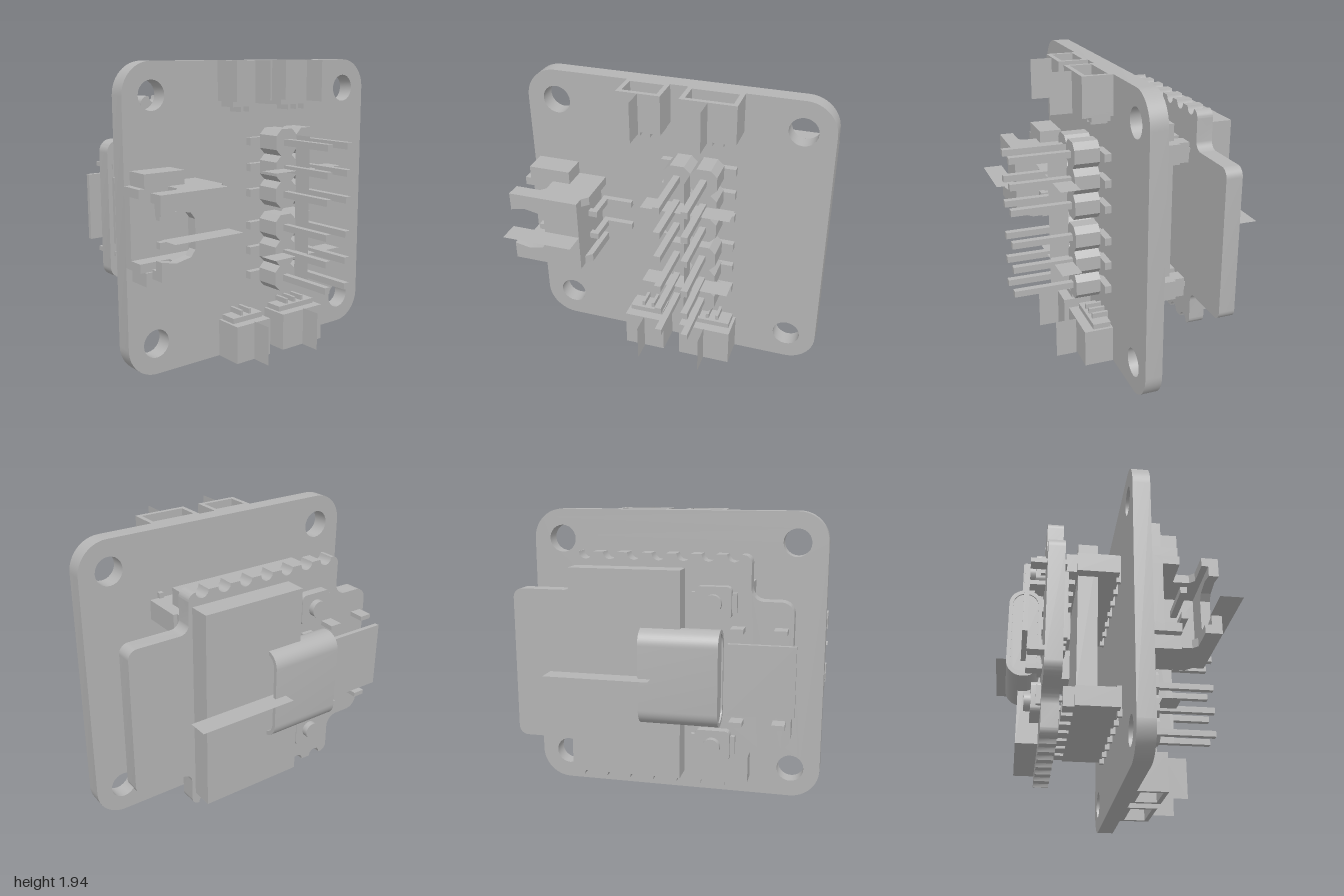
import * as THREE from 'three';
import { toCreasedNormals } from 'three/addons/utils/BufferGeometryUtils.js';

const CY = 0.97; // height of the board's centre
const gray = new THREE.MeshStandardMaterial({ color: 0xb4b4b4, side: THREE.DoubleSide });
gray.name = 'gray';

export function createModel() {
  const model = new THREE.Group();
  model.name = 'stackedCircuitBoards';

  const group = (name, parent = model) => {
    const g = new THREE.Group();
    g.name = name;
    parent.add(g);
    return g;
  };
  const add = (parent, name, geo) => {
    const m = new THREE.Mesh(geo, gray);
    m.name = name;
    parent.add(m);
    return m;
  };
  // Box given by its limits on each axis
  const box = (parent, name, x0, x1, y0, y1, z0, z1) => {
    const m = add(parent, name, new THREE.BoxGeometry(x1 - x0, y1 - y0, z1 - z0));
    m.position.set((x0 + x1) / 2, (y0 + y1) / 2, (z0 + z1) / 2);
    return m;
  };
  // Path through [x, y, cornerRadius] points
  const outline = (pts, Type = THREE.Shape) => {
    const s = new Type(), n = pts.length;
    pts.forEach((p, i) => {
      const c = new THREE.Vector2(p[0], p[1]), r = p[2] || 0;
      const toward = (q) => new THREE.Vector2(q[0], q[1]).sub(c).setLength(r).add(c);
      const a = toward(pts[(i + n - 1) % n]), b = toward(pts[(i + 1) % n]);
      if (i === 0) s.moveTo(a.x, a.y); else s.lineTo(a.x, a.y);
      if (r) {
        const k = 0.5523; // circular arc as a cubic curve
        const h1 = a.clone().lerp(c, k), h2 = b.clone().lerp(c, k);
        s.bezierCurveTo(h1.x, h1.y, h2.x, h2.y, b.x, b.y);
      }
    });
    s.closePath();
    return s;
  };
  const rect = (x0, x1, y0, y1, r, Type) =>
    outline([[x0, y0, r], [x1, y0, r], [x1, y1, r], [x0, y1, r]], Type);
  const extrude = (shape, z0, z1) => {
    const g = new THREE.ExtrudeGeometry(shape, { depth: z1 - z0, bevelEnabled: false, curveSegments: 12 });
    return toCreasedNormals(g.translate(0, 0, z0), 0.6);
  };

  // Main board with four mounting holes
  const mainShape = rect(-1, 1, 0, 1.94, 0.2);
  for (const x of [-0.8, 0.8]) for (const y of [0.2, 1.74]) {
    const hole = new THREE.Path();
    hole.absarc(x, y, 0.092, 0, Math.PI * 2, true);
    mainShape.holes.push(hole);
  }
  add(model, 'mainBoard', extrude(mainShape, 0.03, 0.14));

  // Two double-row pin headers
  for (const cy of [0.69, 1.25]) {
    const header = group('pinHeader');
    for (let row = -1; row <= 1; row++) {
      const y = cy + row * 0.17;
      for (const side of [-1, 1]) {
        const x = 0.165 + side * 0.085, h = 0.086, c = 0.045;
        const oct = outline([[x - h, y - c], [x - c, y - h], [x + c, y - h], [x + h, y - c],
          [x + h, y + c], [x + c, y + h], [x - c, y + h], [x - h, y + c]]);
        add(header, 'headerCell', extrude(oct, 0.19, 0.355));
        box(header, 'headerPin', x - 0.021, x + 0.021, y - 0.021, y + 0.021, 0.15, 0.75);
        const end = 0.165 + side * 0.245;
        box(header, 'headerFoot', Math.min(x, end), Math.max(x, end), y - 0.025, y + 0.025, 0.14, 0.185);
      }
    }
    const sheet = add(header, 'headerSheet', new THREE.PlaneGeometry(0.57, 0.13).rotateX(-Math.PI / 2));
    sheet.position.set(0.165, cy, 0.415);
  }
  const spine = add(model, 'headerSpineSheet', new THREE.PlaneGeometry(0.13, 0.98).rotateY(Math.PI / 2));
  spine.position.set(0.165, CY, 0.415);

  // Small sockets at the top edge, mirrored at the bottom edge
  const socket = (x0, x1, pins, up) => {
    const g = group('edgeSocket');
    const cx = (x0 + x1) / 2;
    const part = (name, a, b, y0, y1, z0, z1) =>
      up ? box(g, name, a, b, y0, y1, z0, z1) : box(g, name, a, b, 1.94 - y1, 1.94 - y0, z0, z1);
    part('socketBack', x0, x1, 1.69, 1.72, 0.14, 0.335);
    part('socketFloor', x0, x1, 1.69, 1.94, 0.14, 0.165);
    part('socketFront', x0, x1, 1.69, 1.94, 0.305, 0.335);
    part('socketWall', x0, x0 + 0.03, 1.69, 1.94, 0.14, 0.335);
    part('socketWall', x1 - 0.03, x1, 1.69, 1.94, 0.14, 0.335);
    part('socketLip', x0 + 0.02, x1 - 0.02, 1.655, 1.69, 0.15, 0.27);
    for (let i = 0; i < pins; i++) {
      const x = cx + (i - (pins - 1) / 2) * 0.068;
      part('socketContact', x - 0.01, x + 0.01, 1.7, 1.88, 0.25, 0.275);
      part('socketLeg', x - 0.01, x + 0.01, 1.62, 1.7, 0.14, 0.25);
    }
    const sheet = add(g, 'socketSheet', new THREE.PlaneGeometry(0.14, 0.26).rotateY(Math.PI / 2));
    sheet.position.set(cx, up ? 1.81 : 0.13, 0.41);
  };
  for (const up of [true, false]) {
    socket(-0.31, -0.03, 2, up);
    socket(0.085, 0.44, 3, up);
  }

  // Side connector opening toward -x
  const side = group('sideConnector');
  const wall = outline([[-1, 0.14], [-0.49, 0.14], [-0.49, 0.42], [-0.53, 0.46], [-0.53, 0.53],
    [-1, 0.53], [-1, 0.43], [-0.83, 0.43], [-0.8, 0.4], [-0.8, 0.3], [-1, 0.3]]);
  for (const y of [0.725, 1.165]) {
    // profile lies in x and z, extruded along y
    const g = extrude(wall, 0, 0.055).rotateX(Math.PI / 2).translate(0, y + 0.055, 0);
    add(side, 'connectorWall', g);
  }
  box(side, 'connectorFloor', -1, -0.53, 0.725, 1.22, 0.14, 0.2);
  box(side, 'connectorBack', -0.59, -0.53, 0.725, 1.22, 0.14, 0.53);
  const front = outline([[-1, 0.725], [-0.53, 0.725], [-0.53, 1.22], [-1, 1.22], [-1, 1.1],
    [-0.9, 1.12], [-0.8, 1.1], [-0.77, 1.06], [-0.77, 0.88], [-0.8, 0.84], [-0.9, 0.82], [-1, 0.84]]);
  add(side, 'connectorFront', extrude(front, 0.47, 0.53));
  for (const y of [0.885, 1.055]) {
    box(side, 'connectorPin', -0.9, -0.48, y - 0.02, y + 0.02, 0.32, 0.36);
    box(side, 'connectorPinDrop', -0.51, -0.47, y - 0.02, y + 0.02, 0.14, 0.36);
    box(side, 'connectorPinFoot', -0.5, -0.3, y - 0.02, y + 0.02, 0.14, 0.18);
  }
  for (const y of [0.635, 1.22]) {
    box(side, 'connectorTab', -0.96, -0.68, y, y + 0.085, 0.14, 0.3);
  }
  const sideSheet = add(side, 'connectorSheet', new THREE.PlaneGeometry(0.47, 0.14).rotateX(-Math.PI / 2));
  sideSheet.position.set(-0.765, CY, 0.6);

  // Header strips joining the two boards
  for (const s of [-1, 1]) {
    const strip = group('boardSpacer');
    const y = CY + s * 0.465;
    box(strip, 'spacerBody', -0.54, 0.54, y - 0.065, y + 0.065, -0.26, 0.015);
    for (let i = -3; i <= 3; i++) {
      const x = i * 0.155;
      box(strip, 'spacerCollar', x - 0.05, x + 0.05, y - 0.065, y + 0.065, -0.33, -0.26);
      box(strip, 'spacerPin', x - 0.015, x + 0.015, y - 0.015, y + 0.015, -0.37, -0.26);
      box(strip, 'spacerFoot', x - 0.015, x + 0.015, y - 0.1, y + 0.1, 0, 0.035);
    }
  }
  box(model, 'spacerBar', -0.47, 0.46, 0.57, 1.61, -0.25, -0.12);

  // Controller board with scalloped long edges and a tab at each end
  const ctrl = group('controllerBoard');
  const scallops = (y, dir) => {
    const pts = [];
    for (let i = -3; i <= 3; i++) for (let k = 0; k <= 6; k++) {
      const a = Math.PI * (1 - k / 6);
      pts.push([dir * (i * 0.155 + 0.045 * Math.cos(a)), y + dir * 0.045 * Math.sin(a)]);
    }
    return pts;
  };
  const ctrlShape = outline([
    [-0.57, 0.235, 0.05], ...scallops(0.235, 1), [0.56, 0.235, 0.05],
    [0.56, 0.48, 0.06], [0.96, 0.48, 0.06], [0.96, 1.46, 0.06], [0.56, 1.46, 0.06],
    [0.56, 1.705, 0.05], ...scallops(1.705, -1), [-0.57, 1.705, 0.05],
    [-0.57, 1.43, 0.08], [-0.83, 1.43, 0.08], [-0.83, 0.51, 0.08], [-0.57, 0.51, 0.08]]);
  add(ctrl, 'controllerPlate', extrude(ctrlShape, -0.46, -0.355));
  box(ctrl, 'shieldBlock', -0.165, 0.535, 0.32, 1.62, -0.6, -0.46);
  const chipSheet = add(ctrl, 'shieldSheet', new THREE.PlaneGeometry(0.66, 0.13).rotateX(-Math.PI / 2));
  chipSheet.position.set(0.33, CY, -0.69);

  // USB socket: rounded tube along x with a tongue inside
  const usb = group('usbSocket', ctrl);
  const shell = rect(-0.3, 0.3, -0.105, 0.105, 0.1);
  shell.holes.push(rect(-0.275, 0.275, -0.08, 0.08, 0.078, THREE.Path));
  const place = (g) => g.rotateX(Math.PI / 2).rotateZ(Math.PI / 2).translate(-0.41, CY, -0.575);
  add(usb, 'usbShell', place(extrude(shell, 0, 0.49)));
  add(usb, 'usbBack', place(extrude(rect(-0.28, 0.28, -0.085, 0.085, 0.08), 0.01, 0.08)));
  box(usb, 'usbTongue', -0.86, -0.45, CY - 0.22, CY + 0.22, -0.59, -0.56);
  for (const s of [-1, 1]) for (const x of [-0.76, -0.5]) {
    box(usb, 'usbFoot', x - 0.04, x + 0.04, CY + s * 0.29 - 0.015, CY + s * 0.29 + 0.015, -0.56, -0.34);
  }

  // Push buttons either side of the socket
  for (const s of [-1, 1]) {
    const b = group('pushButton', ctrl);
    const y = CY + s * 0.45;
    add(b, 'buttonBase', extrude(rect(-0.46, -0.24, y - 0.1, y + 0.1, 0.03), -0.52, -0.46));
    box(b, 'buttonFeet', -0.49, -0.21, y - 0.06, y + 0.06, -0.49, -0.46);
    const cap = add(b, 'buttonCap', new THREE.CylinderGeometry(0.055, 0.055, 0.05, 24).rotateX(Math.PI / 2));
    cap.position.set(-0.35, y, -0.535);
  }

  // Small chips on both faces of the controller
  for (const y of [0.76, 0.9, 1.06, 1.19]) {
    box(ctrl, 'smallChip', -0.37, -0.29, y - 0.045, y + 0.045, -0.5, -0.46);
  }
  for (const y of [0.8, 1.08]) box(ctrl, 'undersideChip', -0.3, -0.05, y - 0.09, y + 0.11, -0.355, -0.28);
  for (let i = 0; i < 4; i++) {
    box(ctrl, 'undersidePad', -0.8 + i * 0.08, -0.755 + i * 0.08, 0.75, 1.19, -0.355, -0.33);
  }
  return model;
}
